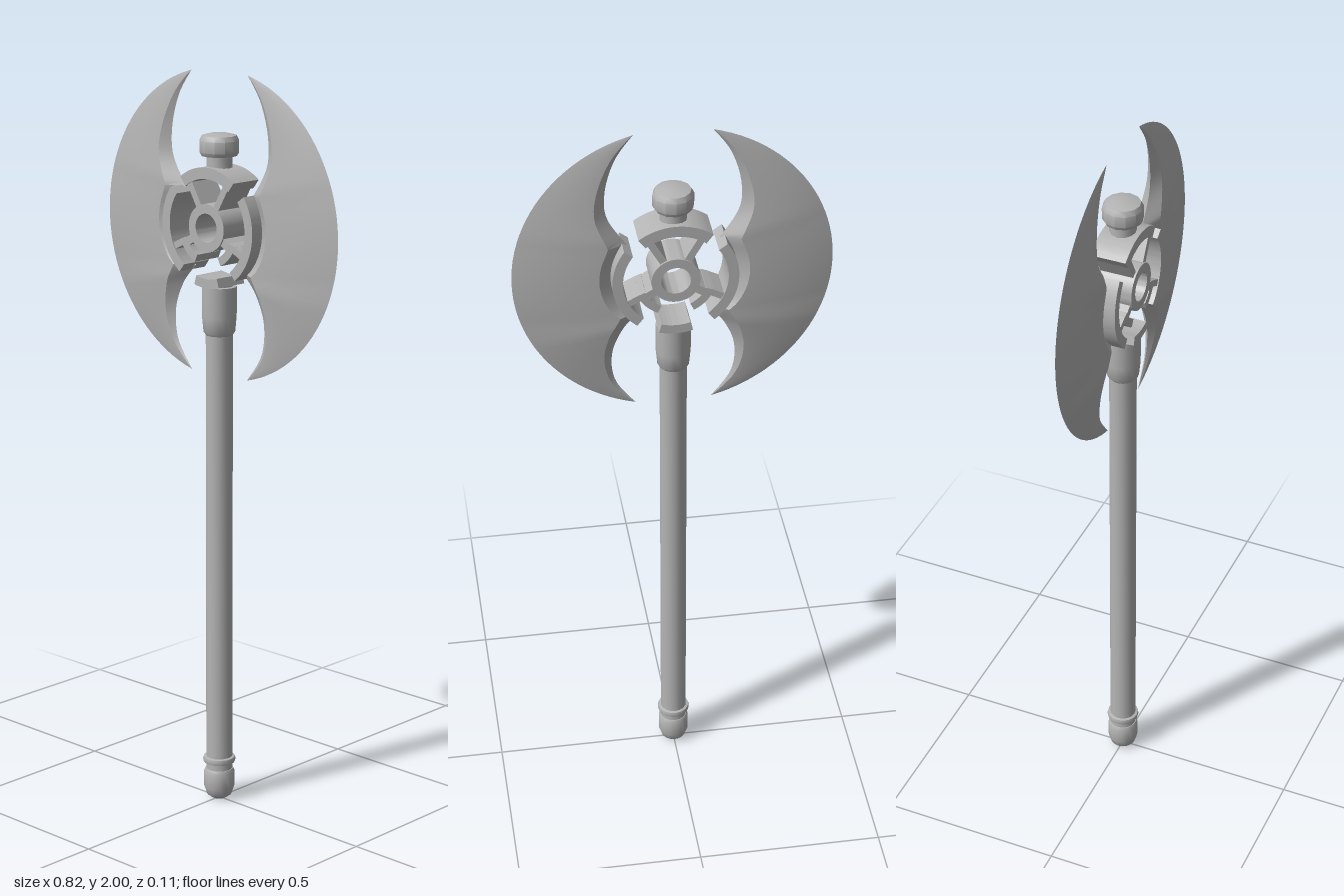
import * as THREE from 'three';
import { toCreasedNormals } from 'three/addons/utils/BufferGeometryUtils.js';

const CY = 1.6; // height of the axe head's centre
const rad = THREE.MathUtils.degToRad;
const steel = new THREE.MeshStandardMaterial({ color: 0xb4b4b4 });
steel.name = 'steel grey';

function add(parent, name, geometry) {
  const mesh = new THREE.Mesh(geometry, steel);
  mesh.name = name;
  parent.add(mesh);
  return mesh;
}

// Turned part from [radius, height] pairs, bottom to top
function turned(points, sides = 16) {
  const g = new THREE.LatheGeometry(points.map(([r, y]) => new THREE.Vector2(r, y)), sides);
  return toCreasedNormals(g, 0.65);
}

// Slab shaped like a piece of a ring, angles in degrees, centred on the hub
function arcSlab(r0, r1, a0, a1, depth) {
  const s = new THREE.Shape();
  s.absarc(0, 0, r1, rad(a0), rad(a1), false);
  s.absarc(0, 0, r0, rad(a1), rad(a0), true);
  const g = new THREE.ExtrudeGeometry(s, { depth, bevelEnabled: false, curveSegments: 14 });
  g.translate(0, CY, -depth / 2);
  return toCreasedNormals(g, 0.5);
}

// Straight bar running outward from the hub
function spoke(r0, r1, angle, width, depth) {
  const g = new THREE.BoxGeometry(r1 - r0, width, depth);
  g.translate((r0 + r1) / 2, 0, 0);
  g.rotateZ(rad(angle));
  g.translate(0, CY, 0);
  return g;
}

// Crescent blade on +x: six-point sections from inner edge to cutting edge
function bladeGeometry() {
  const v = (x, y) => new THREE.Vector2(x, y);
  const upper = new THREE.SplineCurve([v(0.1, 2), v(0.145, 1.935), v(0.171, 1.85), v(0.168, 1.77), v(0.12, 1.69)]);
  const lower = new THREE.SplineCurve([v(0.085, 1.485), v(0.13, 1.435), v(0.16, 1.36), v(0.152, 1.275), v(0.1, 1.2)]);
  const inner = upper.getPoints(18);
  for (let i = 1; i < 10; i++) {
    const a = rad(37 - 90 * i / 10);
    inner.push(v(0.145 * Math.cos(a), CY + 0.145 * Math.sin(a)));
  }
  inner.push(...lower.getPoints(18));

  const pos = [], idx = [], n = inner.length;
  inner.forEach((p, i) => {
    const a = rad(76 - 152 * i / (n - 1));
    const q = v(0.412 * Math.cos(a), CY + 0.412 * Math.sin(a));
    const h = Math.min(0.03, 0.115 * p.distanceTo(q));
    for (const [s, z] of [[0, 0], [0.18, 1], [0.6, 0.84], [1, 0], [0.6, -0.84], [0.18, -1]]) {
      const m = p.clone().lerp(q, s);
      pos.push(m.x, m.y, z * h);
    }
  });
  for (let i = 0; i < n - 1; i++) {
    for (let k = 0; k < 6; k++) {
      const a = i * 6 + k, b = i * 6 + (k + 1) % 6;
      idx.push(a, a + 6, b, b, a + 6, b + 6);
    }
  }
  const g = new THREE.BufferGeometry();
  g.setAttribute('position', new THREE.Float32BufferAttribute(pos, 3));
  g.setIndex(idx);
  g.computeVertexNormals();
  return toCreasedNormals(g, 0.42);
}

export function createModel() {
  const axe = new THREE.Group();
  axe.name = 'doubleAxe';

  // Shaft with pommel, grip ring and upper collar
  add(axe, 'shaft', turned([[0, 0.08], [0.036, 0.08], [0.036, 1.45], [0, 1.45]]));
  add(axe, 'pommel', turned([[0, 0], [0.022, 0.003], [0.034, 0.012], [0.042, 0.035], [0.042, 0.08], [0.038, 0.088], [0, 0.088]]));
  add(axe, 'gripRing', turned([[0.034, 0.105], [0.043, 0.107], [0.045, 0.115], [0.043, 0.122], [0.034, 0.124]]));
  add(axe, 'collar', turned([[0.035, 1.308], [0.042, 1.318], [0.046, 1.36], [0.046, 1.44], [0, 1.445]]));
  add(axe, 'collarCap', arcSlab(0.135, 0.16, 254, 286, 0.098));

  // Top knob on a short neck
  add(axe, 'neck', turned([[0.035, 1.735], [0.035, 1.79]], 12));
  add(axe, 'knob', turned([[0, 1.784], [0.047, 1.785], [0.053, 1.795], [0.053, 1.825], [0.046, 1.838], [0.025, 1.843], [0, 1.844]], 12));

  // Open hub tube
  const hub = new THREE.Shape();
  hub.absarc(0, 0, 0.063, 0, Math.PI * 2, false);
  const bore = new THREE.Path();
  bore.absarc(0, 0, 0.038, 0, Math.PI * 2, true);
  hub.holes.push(bore);
  const hubGeo = new THREE.ExtrudeGeometry(hub, { depth: 0.1, bevelEnabled: false, curveSegments: 20 });
  hubGeo.translate(0, CY, -0.05);
  add(axe, 'hub', toCreasedNormals(hubGeo, 0.5));

  // Head frame: crown arc above, and arcs with hooked arms on each side
  add(axe, 'crownArc', arcSlab(0.128, 0.158, 53, 127, 0.096));
  for (const side of [1, -1]) {
    const at = (a) => (side > 0 ? a : 180 - a);
    const arc = (r0, r1, a0, a1, d) => arcSlab(r0, r1, Math.min(at(a0), at(a1)), Math.max(at(a0), at(a1)), d);
    const label = side > 0 ? 'left' : 'right';
    add(axe, label + 'CrownSpoke', spoke(0.055, 0.135, at(60), 0.019, 0.09));
    add(axe, label + 'SideArc', arc(0.135, 0.162, -52, 36, 0.096));
    add(axe, label + 'HookArc', arc(0.084, 0.106, -64, -22, 0.09));
    add(axe, label + 'HookInnerArm', spoke(0.055, 0.09, at(-31), 0.022, 0.09));
    add(axe, label + 'HookOuterArm', spoke(0.1, 0.14, at(-27), 0.018, 0.09));
  }

  // Blades, the second turned half way round
  const blade = bladeGeometry();
  add(axe, 'leftBlade', blade);
  add(axe, 'rightBlade', blade).rotation.y = Math.PI;
  return axe;
}
